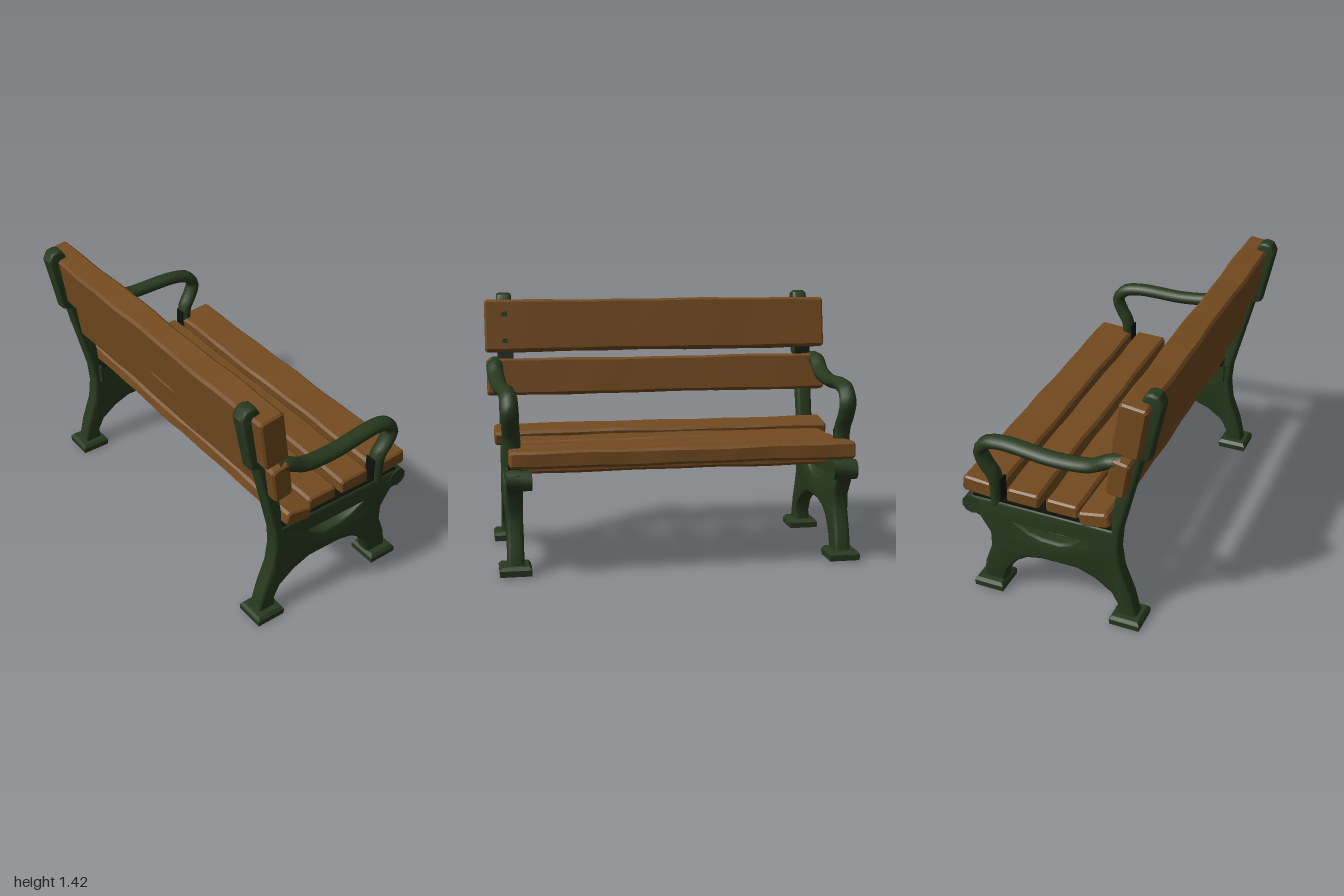
import * as THREE from 'three';
import { toCreasedNormals } from 'three/addons/utils/BufferGeometryUtils.js';

const wood = new THREE.MeshStandardMaterial({ color: 0x734a1f });
wood.name = 'brown wood';
const iron = new THREE.MeshStandardMaterial({ color: 0x27391e });
iron.name = 'green cast iron';
const darkIron = new THREE.MeshStandardMaterial({ color: 0x0d110a });
darkIron.name = 'blackened iron';

function add(parent, name, geometry, material, x = 0, y = 0, z = 0) {
  const mesh = new THREE.Mesh(geometry, material);
  mesh.name = name;
  mesh.position.set(x, y, z);
  parent.add(mesh);
  return mesh;
}

const toPoints = (list) => list.map(([x, y]) => new THREE.Vector2(x, y));

// Worn plank along z: chamfered section, gently warped along its length
function plankGeometry(w, h, length, seed) {
  const a = w / 2, b = h / 2, c = 0.014;
  const shape = new THREE.Shape(toPoints([
    [-a + c, -b], [a - c, -b], [a, -b + c], [a, b - c],
    [a - c, b], [-a + c, b], [-a, b - c], [-a, -b + c],
  ]));
  const geo = new THREE.ExtrudeGeometry(shape, {
    depth: length - 0.02, steps: 22, bevelThickness: 0.01, bevelSize: 0.01, bevelOffset: -0.01, bevelSegments: 1,
  });
  geo.translate(0, 0, -length / 2 + 0.01);
  const p = geo.attributes.position;
  for (let i = 0; i < p.count; i++) {
    const x = p.getX(i), y = p.getY(i), z = p.getZ(i);
    const sx = Math.sign(x), sy = Math.sign(y);
    p.setX(i, x + 0.003 * Math.sin(z * 7 + seed * 2.3 + sx) + 0.002 * Math.sin(z * 17 + seed + sy * 2));
    p.setY(i, y + 0.002 * Math.sin(z * 5 + seed * 1.7 + sy) + 0.0015 * Math.sin(z * 13 + seed * 3 + sx * 2));
  }
  return toCreasedNormals(geo, 0.5);
}

// Cast side frame: both legs, arched web, seat rail and back post in one outline
function frameGeometry() {
  const shape = new THREE.Shape(toPoints([
    [-0.435, 0.03], [-0.315, 0.03], [-0.325, 0.1], [-0.29, 0.17], [-0.2, 0.235], [-0.1, 0.272],
    [0.1, 0.27], [0.19, 0.25], [0.25, 0.21], [0.31, 0.13], [0.335, 0.04], [0.46, 0.04],
    [0.44, 0.16], [0.4, 0.27], [0.4, 0.36], [0.455, 0.45], [0.53, 0.48], [0.54, 0.55], [0.5, 0.575],
    [-0.29, 0.575], [-0.3, 0.7], [-0.33, 0.85], [-0.37, 1.03], [-0.4, 1.12], [-0.45, 1.38],
    [-0.47, 1.415], [-0.5, 1.425], [-0.535, 1.415], [-0.56, 1.37], [-0.495, 1.05], [-0.455, 1.035],
    [-0.34, 0.57], [-0.33, 0.45], [-0.345, 0.33], [-0.4, 0.18],
  ]));
  shape.holes.push(new THREE.Path(toPoints([
    [-0.115, 0.465], [-0.07, 0.425], [0, 0.4], [0.1, 0.403], [0.17, 0.422], [0.25, 0.465],
  ])));
  const geo = new THREE.ExtrudeGeometry(shape, {
    depth: 0.046, bevelThickness: 0.02, bevelSize: 0.015, bevelOffset: -0.015, bevelSegments: 3,
  });
  geo.translate(0, 0, -0.023);
  return toCreasedNormals(geo, 0.7);
}

// Curved armrest, wider than tall, sweeping down to the seat
function armGeometry(side) {
  const wide = 1.3;
  const curve = new THREE.CatmullRomCurve3([
    [-0.37, 1.035, 0.94], [-0.3, 1.02, 0.948], [-0.2, 0.965, 0.942], [0, 0.938, 0.93],
    [0.29, 0.947, 0.91], [0.388, 0.925, 0.903], [0.431, 0.865, 0.9], [0.405, 0.79, 0.897],
    [0.365, 0.72, 0.892], [0.36, 0.55, 0.885],
  ].map(([x, y, z]) => new THREE.Vector3(x, y, side * z / wide)));
  return new THREE.TubeGeometry(curve, 40, 0.036, 10).scale(1, 1, wide);
}

// Square foot: straight sides with a sloped top edge
function footGeometry() {
  const profile = toPoints([[0, 0], [0.116, 0], [0.119, 0.032], [0.1, 0.05], [0, 0.055]]);
  const geo = new THREE.LatheGeometry(profile, 4).rotateY(Math.PI / 4);
  return toCreasedNormals(geo, 0.4);
}

export function createModel() {
  const bench = new THREE.Group();
  bench.name = 'bench';

  // Planks: name, x, y, width, height, length, tilt
  [
    ['upperBackPlank', -0.418, 1.237, 0.145, 0.292, 1.99, 0.15],
    ['lowerBackPlank', -0.354, 0.95, 0.105, 0.207, 1.98, 0.15],
    ['rearSeatPlank', -0.215, 0.642, 0.16, 0.08, 1.92, -0.17],
    ['innerRearSeatPlank', -0.012, 0.579, 0.187, 0.14, 1.8, 0],
    ['innerFrontSeatPlank', 0.212, 0.583, 0.182, 0.144, 1.8, 0.02],
    ['frontSeatPlank', 0.44, 0.624, 0.215, 0.09, 1.82, 0.06],
  ].forEach(([name, x, y, w, h, length, tilt], i) => {
    add(bench, name, plankGeometry(w, h, length, i + 1), wood, x, y).rotation.z = tilt;
  });

  // Bolt heads on one end of the upper back plank
  for (const y of [1.16, 1.31]) {
    const bolt = add(bench, 'bolt', new THREE.BoxGeometry(0.009, 0.026, 0.03), iron, -0.333 - (y - 1.16) * 0.15, y, 0.885);
    bolt.rotation.z = 0.15;
  }

  // Iron ends
  for (const side of [1, -1]) {
    const end = new THREE.Group();
    end.name = side > 0 ? 'endFrameA' : 'endFrameB';
    bench.add(end);
    const z = side * 0.885;
    add(end, 'sideFrame', frameGeometry(), iron, 0, 0, side * 0.882);
    add(end, 'seatRail', new THREE.BoxGeometry(0.8, 0.107, 0.09), iron, 0.1, 0.5215, side * 0.862);
    add(end, 'armrest', armGeometry(side), iron);
    add(end, 'rearFoot', footGeometry(), iron, -0.38, 0, z);
    add(end, 'frontFoot', footGeometry(), iron, 0.405, 0.01, z);
    const knob = new THREE.CylinderGeometry(0.054, 0.054, 0.13, 10).rotateX(Math.PI / 2);
    add(end, 'frontScroll', toCreasedNormals(knob, 0.8), iron, 0.498, 0.518, side * 0.862);

    // Blackened plates where the planks and armrest are seated
    add(end, 'railTopPlate', new THREE.BoxGeometry(0.78, 0.008, 0.1), darkIron, 0.1, 0.577, side * 0.865);
    const backPlate = add(end, 'postFrontPlate', new THREE.BoxGeometry(0.009, 0.1, 0.09), darkIron, -0.388, 1.075, side * 0.882);
    backPlate.rotation.z = 0.28;
    add(end, 'armFootPlate', new THREE.BoxGeometry(0.008, 0.13, 0.06), darkIron, 0.325, 0.645, z);
  }
  return bench;
}
